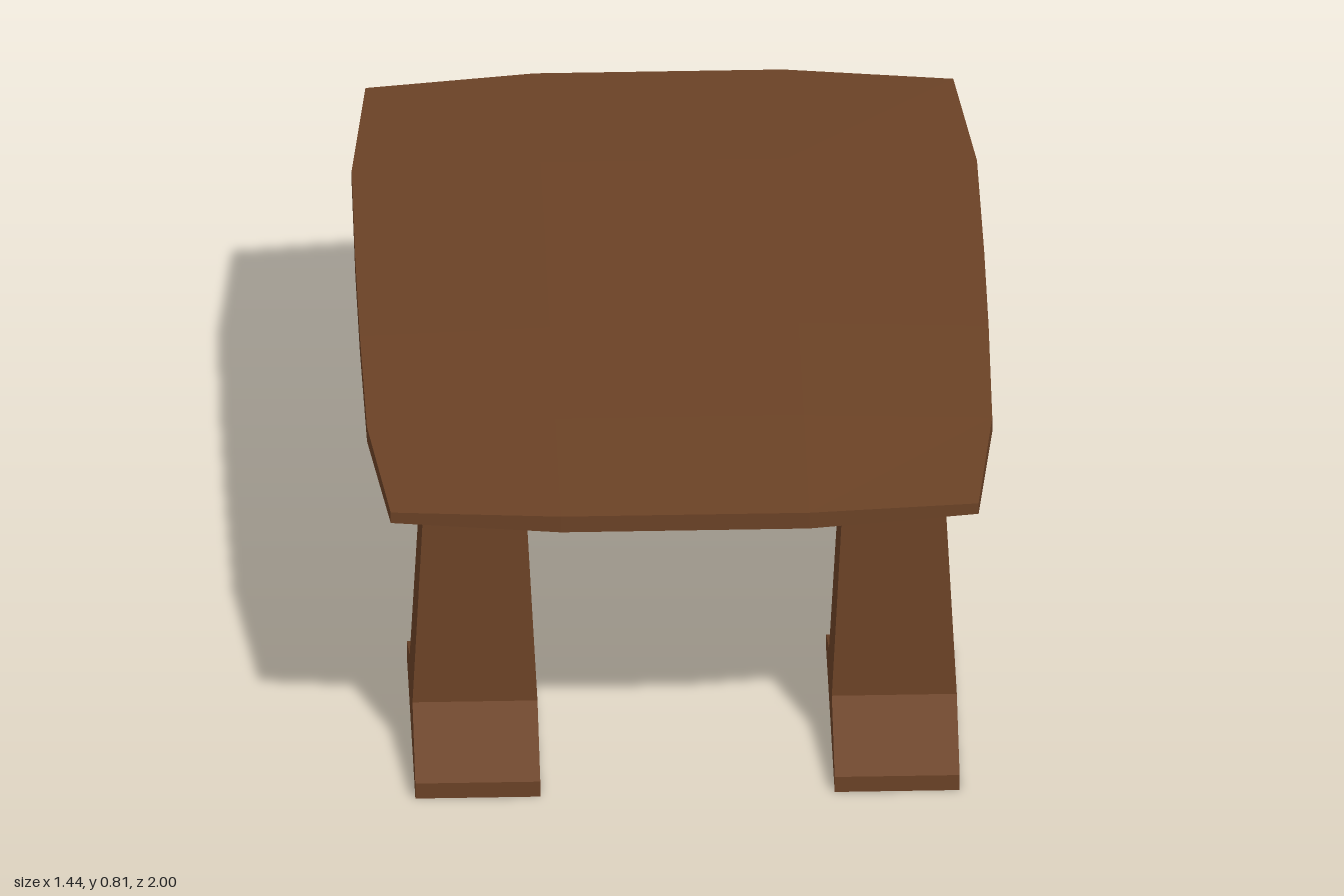
import * as THREE from 'three';

const wood = new THREE.MeshStandardMaterial({ color: 0x6b4226, flatShading: true });

// Box whose grid vertices are moved by rule(i, j, k) -> [x, y, z]
function shapedBox(nx, ny, nz, rule) {
  const geo = new THREE.BoxGeometry(nx, ny, nz, nx, ny, nz);
  const p = geo.attributes.position;
  for (let v = 0; v < p.count; v++) {
    const i = Math.round(p.getX(v) + nx / 2);
    const j = Math.round(p.getY(v) + ny / 2);
    const k = Math.round(p.getZ(v) + nz / 2);
    p.setXYZ(v, ...rule(i, j, k));
  }
  const flat = geo.toNonIndexed();
  flat.computeVertexNormals();
  return flat;
}

// Bowed top, thickest in the middle and thin at the corners
function tabletop() {
  const sideX = [0.722, 0.718, 0.675]; // outline, from mid length to corner
  const rowZ = [0.17, 0.575, 0.95];
  const innerHalf = [0.037, 0.033, 0.021]; // half thickness away from the sides
  const sideHalf = [0.021, 0.019, 0.014];
  const geo = shapedBox(3, 1, 5, (i, j, k) => {
    const sx = Math.sign(i - 1.5), sz = Math.sign(k - 2.5);
    const row = Math.abs(k - 2.5) - 0.5;
    const side = i === 0 || i === 3;
    const x = side ? sideX[row] : 0.285;
    const z = row === 2 && !side ? 0.992 : rowZ[row];
    const half = (side ? sideHalf : innerHalf)[row];
    return [sx * x, 0.771 + (j ? half : -half), sz * z + 0.007];
  });
  const mesh = new THREE.Mesh(geo, wood);
  mesh.name = 'tabletop';
  return mesh;
}

// Tapered post standing on a long sloped foot: rows of [y, half width, half depth]
const legRows = [
  [0, 0.1435, 0.319],
  [0.04, 0.1435, 0.319],
  [0.13, 0.1435, 0.106],
  [0.755, 0.112, 0.081],
];
const legGeometry = shapedBox(1, 3, 1, (i, j, k) => {
  const [y, w, d] = legRows[j];
  return [i ? w : -w, y, k ? d : -d];
});

export function createModel() {
  const group = new THREE.Group();
  group.name = 'table';
  group.add(tabletop());
  for (const [side, x] of [['Left', 0.489], ['Right', -0.474]]) {
    for (const [end, z] of [['front', 0.606], ['back', -0.681]]) {
      const leg = new THREE.Mesh(legGeometry, wood);
      leg.name = `${end}${side}Leg`;
      leg.position.set(x, 0, z);
      group.add(leg);
    }
  }
  return group;
}
